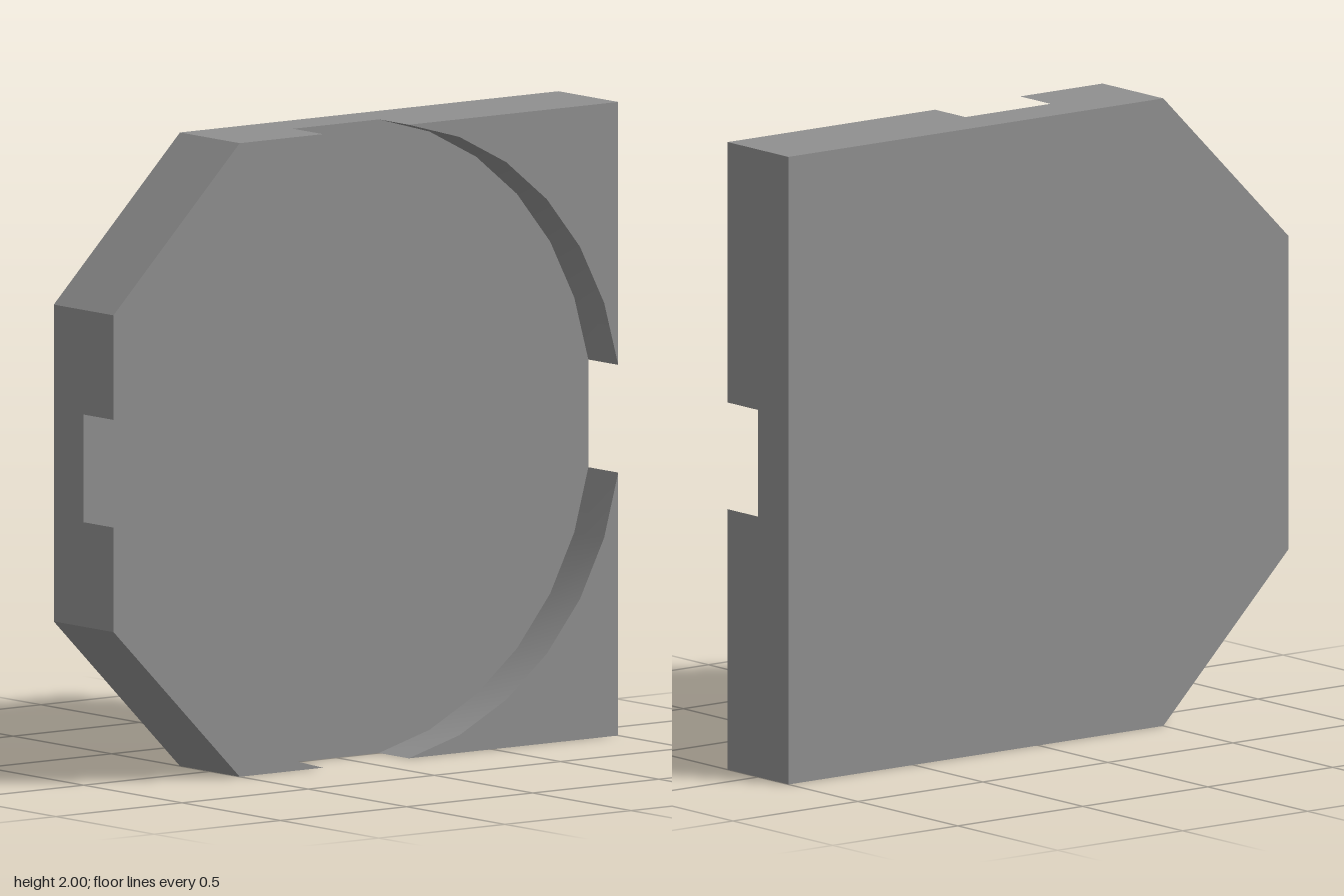
import * as THREE from 'three';
import { toCreasedNormals } from 'three/addons/utils/BufferGeometryUtils.js';

const DEPTH = 0.152; // thickness of each half of the plate
const NOTCH = 0.17;  // half width of the edge openings
const CUT = 0.5;     // chamfer start on the right-hand side

// Recess arc in one quadrant, from the side opening to the top opening
function arcPoints(sx, sy) {
  const radius = Math.hypot(1, NOTCH);
  const start = Math.atan(NOTCH);
  const pts = [];
  for (let i = 0; i <= 6; i++) {
    const a = start + (Math.PI / 2 - 2 * start) * i / 6;
    pts.push(new THREE.Vector2(sx * radius * Math.cos(a), sy * radius * Math.sin(a)));
  }
  return pts;
}

// Extrude without the cap lying on the given local z plane
function extrudeOpen(points, openZ) {
  const full = new THREE.ExtrudeGeometry(new THREE.Shape(points), {
    depth: DEPTH, bevelEnabled: false,
  });
  const p = full.attributes.position;
  const kept = [];
  for (let i = 0; i < p.count; i += 3) {
    if ([0, 1, 2].every(k => Math.abs(p.getZ(i + k) - openZ) < 1e-5)) continue;
    for (let k = 0; k < 3; k++) kept.push(p.getX(i + k), p.getY(i + k), p.getZ(i + k));
  }
  const geo = new THREE.BufferGeometry();
  geo.setAttribute('position', new THREE.Float32BufferAttribute(kept, 3));
  return toCreasedNormals(geo, 0.4);
}

export function createModel() {
  const group = new THREE.Group();
  group.name = 'recessedPlate';
  const grey = new THREE.MeshStandardMaterial({ color: 0x8f8f8f });
  grey.name = 'grey';

  const add = (name, geometry, z) => {
    const mesh = new THREE.Mesh(geometry, grey);
    mesh.name = name;
    mesh.position.set(0, 1, z);
    group.add(mesh);
  };

  // Back half: square with two chamfered corners
  const outline = [[1, -1], [1, 1], [-CUT, 1], [-1, CUT], [-1, -CUT], [-CUT, -1]]
    .map(([x, y]) => new THREE.Vector2(x, y));
  add('backPlate', extrudeOpen(outline, DEPTH), -DEPTH);

  // Round recess floor, reaching the edges at the four openings
  const floor = [
    ...arcPoints(1, 1), ...arcPoints(-1, 1).reverse(),
    ...arcPoints(-1, -1), ...arcPoints(1, -1).reverse(),
  ];
  add('recessFloor', new THREE.ShapeGeometry(new THREE.Shape(floor)), 0);

  // Raised corner pieces around the recess
  for (const sx of [1, -1]) {
    for (const sy of [1, -1]) {
      const corner = sx > 0 ? [[1, 1]] : [[1, CUT], [CUT, 1]];
      const pts = [
        ...corner.map(([x, y]) => new THREE.Vector2(sx * x, sy * y)),
        ...arcPoints(sx, sy).reverse(),
      ];
      const name = (sy > 0 ? 'top' : 'bottom') + (sx > 0 ? 'Left' : 'Right') + 'Corner';
      add(name, extrudeOpen(pts, 0), 0);
    }
  }
  return group;
}
